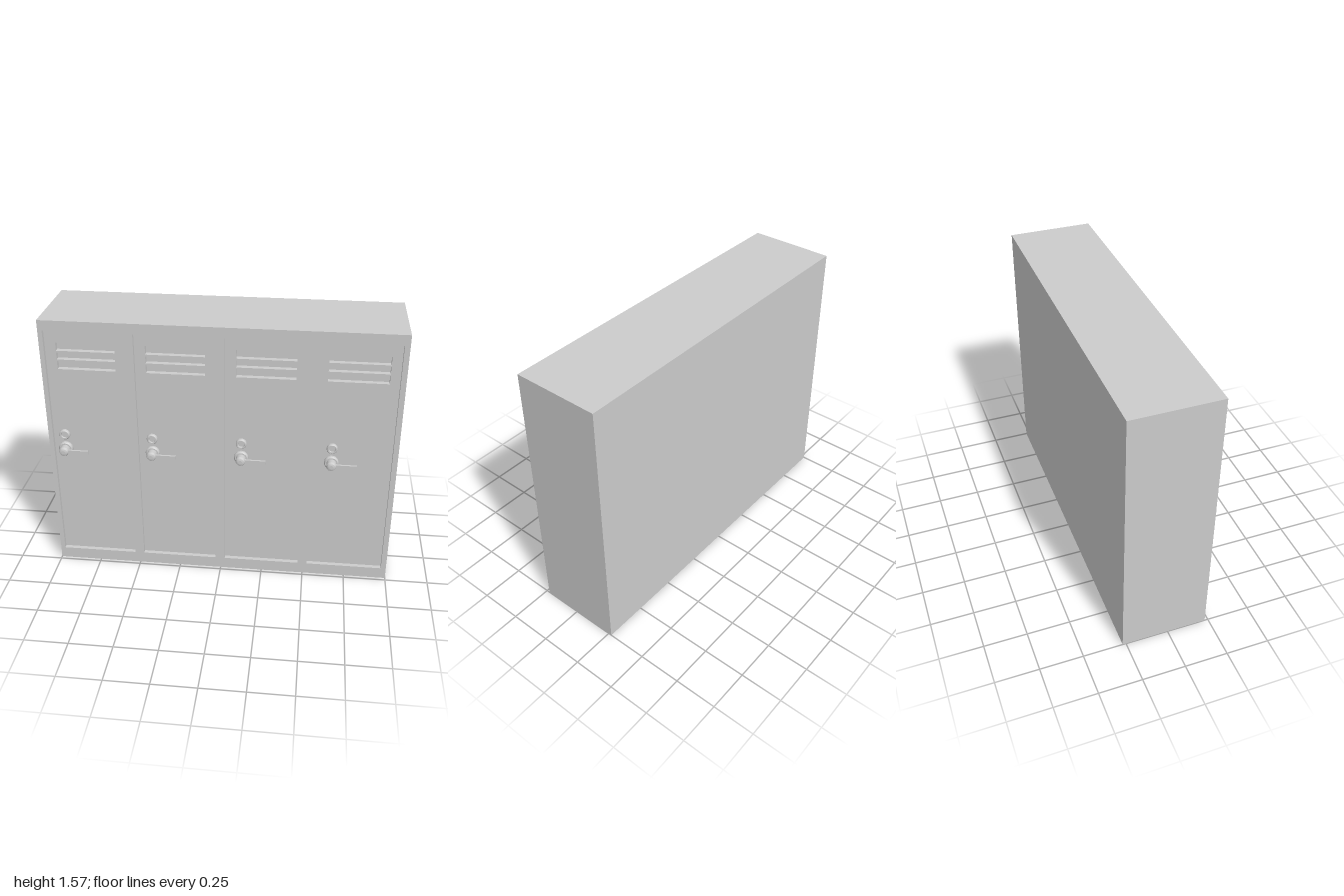
import * as THREE from 'three';

const mat = new THREE.MeshStandardMaterial({ color: 0xcccccc });
const W = 2, H = 1.57, BACK = -0.27, FRONT = 0.23;
const DOOR_Z = 0.205, VENT_Z = 0.175; // door face and vent floor
const DOOR_W = 0.445, DOOR_Y0 = 0.07, DOOR_Y1 = 1.51;
const VENT_W = 0.33, VENT_Y0 = 1.275, VENT_Y1 = 1.435;

function add(parent, name, geometry, x = 0, y = 0, z = 0) {
  const mesh = new THREE.Mesh(geometry, mat);
  mesh.name = name;
  mesh.position.set(x, y, z);
  parent.add(mesh);
  return mesh;
}

function trace(path, x0, y0, x1, y1) {
  path.moveTo(x0, y0).lineTo(x1, y0).lineTo(x1, y1).lineTo(x0, y1).closePath();
  return path;
}

function extrude(shape, depth) {
  return new THREE.ExtrudeGeometry(shape, { depth, bevelEnabled: false });
}

// Turned part facing +z; each band has its own vertices so its rims stay crisp
function turned(parent, name, profile, x, y, z) {
  const group = new THREE.Group();
  group.name = name;
  group.position.set(x, y, z);
  group.rotation.x = Math.PI / 2;
  for (let i = 0; i < profile.length - 1; i++) {
    const points = [profile[i], profile[i + 1]].map(([r, h]) => new THREE.Vector2(r, h));
    add(group, name + 'Band', new THREE.LatheGeometry(points, 24));
  }
  parent.add(group);
}

function createDoor(index) {
  const door = new THREE.Group();
  door.name = 'door' + (index + 1);
  const cx = -0.7525 + index * 0.5;
  const ventX = -0.75 + index * 0.5;
  const handleX = -0.91 + index * 0.514;

  // Panel with the vent opening cut out
  const shape = trace(new THREE.Shape(), cx - DOOR_W / 2, DOOR_Y0, cx + DOOR_W / 2, DOOR_Y1);
  shape.holes.push(trace(new THREE.Path(), ventX - VENT_W / 2, VENT_Y0, ventX + VENT_W / 2, VENT_Y1));
  add(door, 'doorPanel', extrude(shape, DOOR_Z - VENT_Z), 0, 0, VENT_Z);

  // Vent slats
  for (const y of [1.38, 1.328]) {
    add(door, 'ventSlat', new THREE.BoxGeometry(VENT_W, 0.01, DOOR_Z - VENT_Z),
      ventX, y, (DOOR_Z + VENT_Z) / 2);
  }

  // Key lock with a sunken face
  turned(door, 'lock', [[0.031, 0], [0.031, 0.012], [0.026, 0.02], [0.019, 0.02], [0.017, 0.01], [0, 0.01]],
    handleX, 0.865, DOOR_Z);

  // Handle: rosette, hub and lever
  turned(door, 'handleRosette', [[0.041, 0], [0.041, 0.012], [0.035, 0.02], [0.02, 0.02]],
    handleX, 0.775, DOOR_Z);
  turned(door, 'handleHub', [[0.028, 0.015], [0.028, 0.052], [0.022, 0.065], [0.012, 0.068], [0, 0.068]],
    handleX, 0.775, DOOR_Z);
  const lever = new THREE.Shape();
  lever.moveTo(0, -0.013).lineTo(0.05, -0.01).lineTo(0.142, -0.01)
    .lineTo(0.142, 0.01).lineTo(0.05, 0.01).lineTo(0, 0.013).closePath();
  add(door, 'handleLever', extrude(lever, 0.012), handleX, 0.775, 0.248);
  return door;
}

export function createModel() {
  const model = new THREE.Group();
  model.name = 'lockerBank';

  // Solid carcass behind the doors
  add(model, 'carcass', new THREE.BoxGeometry(W, H, VENT_Z - BACK), 0, H / 2, (VENT_Z + BACK) / 2);

  // Front frame with four door openings
  const frame = trace(new THREE.Shape(), -W / 2, 0, W / 2, H);
  for (let i = 0; i < 4; i++) {
    const cx = -0.7525 + i * 0.5;
    frame.holes.push(trace(new THREE.Path(), cx - DOOR_W / 2, DOOR_Y0, cx + DOOR_W / 2, DOOR_Y1));
    model.add(createDoor(i));
  }
  add(model, 'frontFrame', extrude(frame, FRONT - VENT_Z), 0, 0, VENT_Z);
  return model;
}
